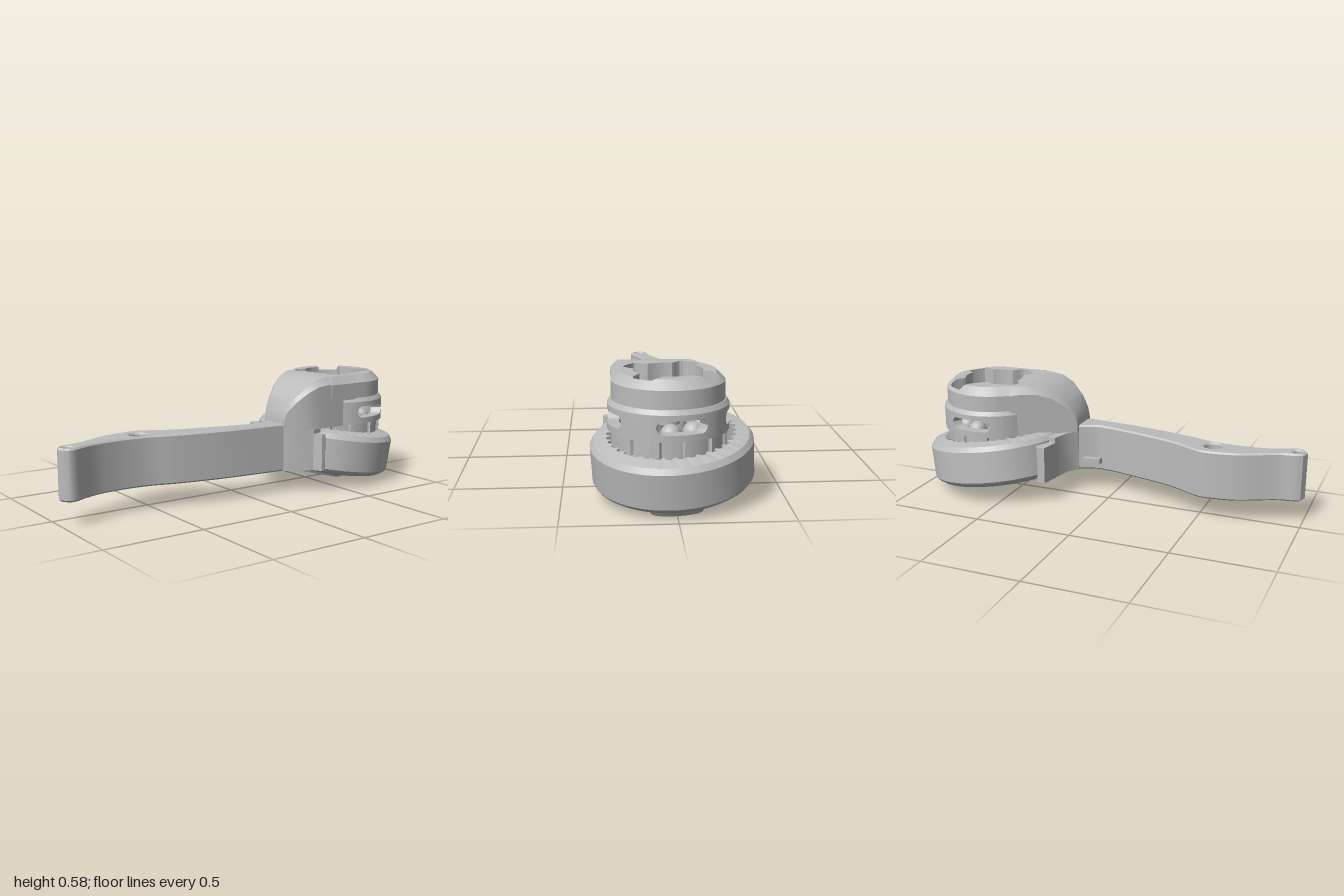
import * as THREE from 'three';
import { toCreasedNormals } from 'three/addons/utils/BufferGeometryUtils.js';

const TAU = Math.PI * 2;
const rad = THREE.MathUtils.degToRad;

// Joins equal-length cross-section loops into a solid; faces are turned outward by the sign of the volume
function loft(sections, closed = false) {
  const n = sections.length, m = sections[0].length, tris = [];
  for (let i = 0; i < (closed ? n : n - 1); i++) {
    const a = sections[i], b = sections[(i + 1) % n];
    for (let j = 0; j < m; j++) {
      const k = (j + 1) % m;
      tris.push([a[j], b[j], b[k]], [a[j], b[k], a[k]]);
    }
  }
  if (!closed) for (let j = 1; j < m - 1; j++) {
    const a = sections[0], b = sections[n - 1];
    tris.push([a[0], a[j], a[j + 1]], [b[0], b[j + 1], b[j]]);
  }
  const V = p => new THREE.Vector3(...p);
  const volume = tris.reduce((s, [a, b, c]) => s + V(a).dot(V(b).cross(V(c))), 0);
  const pos = tris.flatMap(([a, b, c]) => (volume < 0 ? [a, c, b] : [a, b, c]).flat());
  const g = new THREE.BufferGeometry();
  g.setAttribute('position', new THREE.Float32BufferAttribute(pos, 3));
  return toCreasedNormals(g, 0.5);
}

// Sweeps a [radius, y] section around the y axis; the section may change with the angle
function sweep(steps, section, a0 = 0, a1 = TAU) {
  const closed = a1 - a0 > TAU - 1e-6, list = [];
  for (let i = 0; i < (closed ? steps : steps + 1); i++) {
    const a = a0 + (a1 - a0) * i / steps;
    list.push(section(a).map(([r, y]) => [r * Math.cos(a), y, r * Math.sin(a)]));
  }
  return loft(list, closed);
}

// Extrudes a plan outline of [x, z] points upward, with round holes [x, z, r]
function plan(points, y0, y1, holes = [], bevel = 0) {
  const s = new THREE.Shape(points.map(([x, z]) => new THREE.Vector2(x, -z)));
  for (const [x, z, r] of holes) s.holes.push(new THREE.Path().absarc(x, -z, r, 0, TAU, false));
  const g = new THREE.ExtrudeGeometry(s, {
    depth: y1 - y0 - 2 * bevel, curveSegments: 20, bevelEnabled: bevel > 0,
    bevelThickness: bevel, bevelSize: bevel, bevelOffset: -bevel, bevelSegments: 1,
  });
  g.rotateX(-Math.PI / 2).translate(0, y0 + bevel, 0);
  return toCreasedNormals(g, 0.5);
}

const spline = (pts, n) => new THREE.SplineCurve(pts.map(p => new THREE.Vector2(...p)))
  .getPoints(n).map(p => [p.x, p.y]);
const circle = (r, n = 40) => Array.from({ length: n }, (_, i) => [r * Math.cos(i / n * TAU), -r * Math.sin(i / n * TAU)]);
// Angle between two directions, and the smallest such angle to any in a list
const apart = (a, b) => Math.abs(Math.atan2(Math.sin(a - b), Math.cos(a - b)));
const nearest = (a, list) => Math.min(...list.map(l => apart(a, l)));

export function createModel() {
  const model = new THREE.Group();
  const grey = new THREE.MeshStandardMaterial({ color: 0xbcbcbc });
  grey.name = 'grey';
  const add = (parent, name, geometry, x = 0, y = 0, z = 0) => {
    const m = new THREE.Mesh(geometry, grey);
    m.name = name;
    m.position.set(x, y, z);
    parent.add(m);
  };

  // Curved lever arm with two vertical holes
  const back = spline([[-0.985, 0.05], [-0.95, 0.036], [-0.87, 0.02], [-0.72, -0.05], [-0.64, -0.072], [-0.54, -0.083],
    [-0.48, -0.07], [-0.33, 0], [-0.1, 0.06], [0.06, 0.09], [0.13, 0.08], [0.24, 0.03]], 44);
  const front = spline([[0.24, 0.2], [0.0, 0.18], [-0.2, 0.155], [-0.4, 0.115], [-0.52, 0.08], [-0.65, 0.068],
    [-0.78, 0.078], [-0.87, 0.105], [-0.93, 0.133], [-0.97, 0.13], [-1, 0.09]], 40);
  add(model, 'arm', plan([...back, ...front], 0.11, 0.355, [[-0.953, 0.085, 0.024], [-0.55, 0.012, 0.043]], 0.008));
  add(model, 'holeSleeve', plan(circle(0.046), 0.16, 0.31, [[0, 0, 0.031]]), -0.55, 0, 0.012);
  add(model, 'armNub', plan([[0.075, 0.06], [0.17, 0.045], [0.17, 0.08], [0.075, 0.1]], 0.15, 0.18));

  // Neck block with a lower tab on each side, reaching down beside the cup
  add(model, 'neck', plan([[0.19, 0.05], [0.23, 0], [0.255, -0.1], [0.3, -0.1], [0.31, 0], [0.32, 0.14],
    [0.385, 0.255], [0.33, 0.27], [0.25, 0.235], [0.19, 0.197]], 0.11, 0.325));
  add(model, 'backTab', plan([[0.25, -0.08], [0.27, -0.2], [0.31, -0.2], [0.34, -0.16], [0.31, -0.08]], 0.11, 0.3));
  add(model, 'frontTab', plan([[0.33, 0.24], [0.385, 0.24], [0.385, 0.295], [0.37, 0.31], [0.35, 0.31], [0.325, 0.265]], 0.11, 0.3));

  // Sloped shoulder from the arm up to the cap: x, top y, back z, front z
  const stations = [[0.19, 0.37, 0.04, 0.2], [0.2, 0.42, 0.033, 0.205], [0.24, 0.48, 0.005, 0.233], [0.3, 0.535, -0.036, 0.26],
    [0.36, 0.567, -0.078, 0.27], [0.43, 0.58, -0.126, 0.27], [0.48, 0.58, -0.16, 0.27]];
  add(model, 'shoulder', loft(stations.map(([x, t, b, f], i) => {
    const c = 0.006 * (i + 1);
    return [[x, 0.322, b], [x, t - c, b], [x, t, b + c], [x, t, f - c], [x, t - c, f], [x, 0.322, f]];
  })));
  add(model, 'shoulderCheek', plan([[0.475, 0.2], [0.525, 0.23], [0.525, 0.27], [0.475, 0.27]], 0.322, 0.46));

  // Round head with its teardrop cap, slotted ring and bearing
  const head = new THREE.Group();
  head.name = 'head';
  head.position.set(0.663, 0, 0.023);
  model.add(head);

  const outer = a => {
    if (a < rad(90) || a > rad(235)) return 0.25;
    const hit = (d, c) => (c > 0.01 ? d / c : Infinity);
    return Math.min(hit(0.25, Math.sin(a)), hit(0.25, Math.cos(rad(235) - a)), hit(0.225, -Math.cos(a)));
  };
  // Recess lobes: direction and reach; a long reach cuts through the chamfered edge
  const lobes = [[34, 0.216], [124, 0.21], [214, 0.2], [304, 0.235]].map(([d, r]) => [rad(d), r]);
  const inner = a => 0.152 + Math.max(...lobes.map(([l, r]) =>
    (r - 0.152) * (1 - THREE.MathUtils.smoothstep(apart(a, l), rad(12), rad(24)))));
  add(head, 'cap', sweep(240, a => {
    const r = outer(a), i = inner(a), edge = Math.max(r - 0.04, i), top = 0.58 - (edge - (r - 0.04));
    return [[r, 0.455], [r, 0.54], [edge, top], [i, top], [i, 0.455]];
  }));
  const screws = lobes.map(([l]) => [0.172 * Math.cos(l), 0.172 * Math.sin(l), 0.026]);
  add(head, 'recessFloor', plan(circle(0.238), 0.46, 0.495, [[0, 0, 0.1], ...screws]));
  add(head, 'hubPlate', plan(circle(0.11), 0.455, 0.475));
  add(head, 'hubCollar', plan(circle(0.055), 0.475, 0.49, [[0, 0, 0.03]]));

  // Ring wall in two halves that part at the rounded slots
  const slots = [76, 350, 272].map(rad), half = 0.115, mid = 0.385;
  const gap = a => {
    const e = Math.max(0, nearest(a, slots) * 0.27 - (half - 0.03));
    return e < 0.03 ? Math.sqrt(0.0009 - e * e) : 0;
  };
  add(head, 'slotRingTop', sweep(240, a => [[0.268, mid + gap(a)], [0.268, 0.44], [0.255, 0.46], [0.215, 0.46], [0.215, mid + gap(a)]]));
  add(head, 'slotRingBottom', sweep(240, a => [[0.215, 0.325], [0.268, 0.325], [0.268, mid - gap(a)], [0.215, mid - gap(a)]]));

  // Ribbed skirt hanging from the ring into the cup
  const ribs = Array.from({ length: 12 }, (_, i) => (i + 0.5) / 12 * TAU);
  add(head, 'ribbedSkirt', sweep(240, a => {
    const r = nearest(a, ribs) < 0.07 ? 0.258 : 0.245;
    return [[0.222, 0.22], [r, 0.22], [r, 0.33], [0.222, 0.33]];
  }));

  // Round-ended rollers about a hub
  add(head, 'hub', plan(circle(0.052), 0.34, 0.46));
  for (let i = 0; i < 9; i++) {
    const a = i / 9 * TAU;
    add(head, 'roller', new THREE.CapsuleGeometry(0.047, 0.14, 6, 16), 0.155 * Math.cos(a), 0.258, 0.155 * Math.sin(a));
  }

  // Tilted cup, open at both ends, with a toothed bore
  const cup = new THREE.Group();
  cup.name = 'cup';
  cup.position.set(0.612, 0.086, -0.005);
  cup.quaternion.setFromUnitVectors(new THREE.Vector3(0, 1, 0), new THREE.Vector3(0.14, 1, 0.06).normalize());
  model.add(cup);
  const teeth = 36;
  add(cup, 'cupWall', sweep(teeth * 5, a => {
    const bore = (a / TAU * teeth + 0.001) % 1 < 0.39 ? 0.272 : 0.29;
    return [[bore, -0.016], [0.335, -0.016], [0.357, 0], [0.365, 0.012], [0.365, 0.172], [0.347, 0.196], [bore, 0.209]];
  }));

  // Raised lips under the cup, with sloping ends
  for (const [from, to, drop] of [[-22, 25, 0.043], [105, 200, 0.03]])
    add(cup, 'cupLip', sweep(12, a => {
      const y = -0.016 - (drop - 0.016) * Math.min(1, (a - rad(from)) / 0.08, (rad(to) - a) / 0.08);
      return [[0.272, 0], [0.272, y], [0.315, y], [0.335, 0]];
    }, rad(from), rad(to)));

  return model;
}
